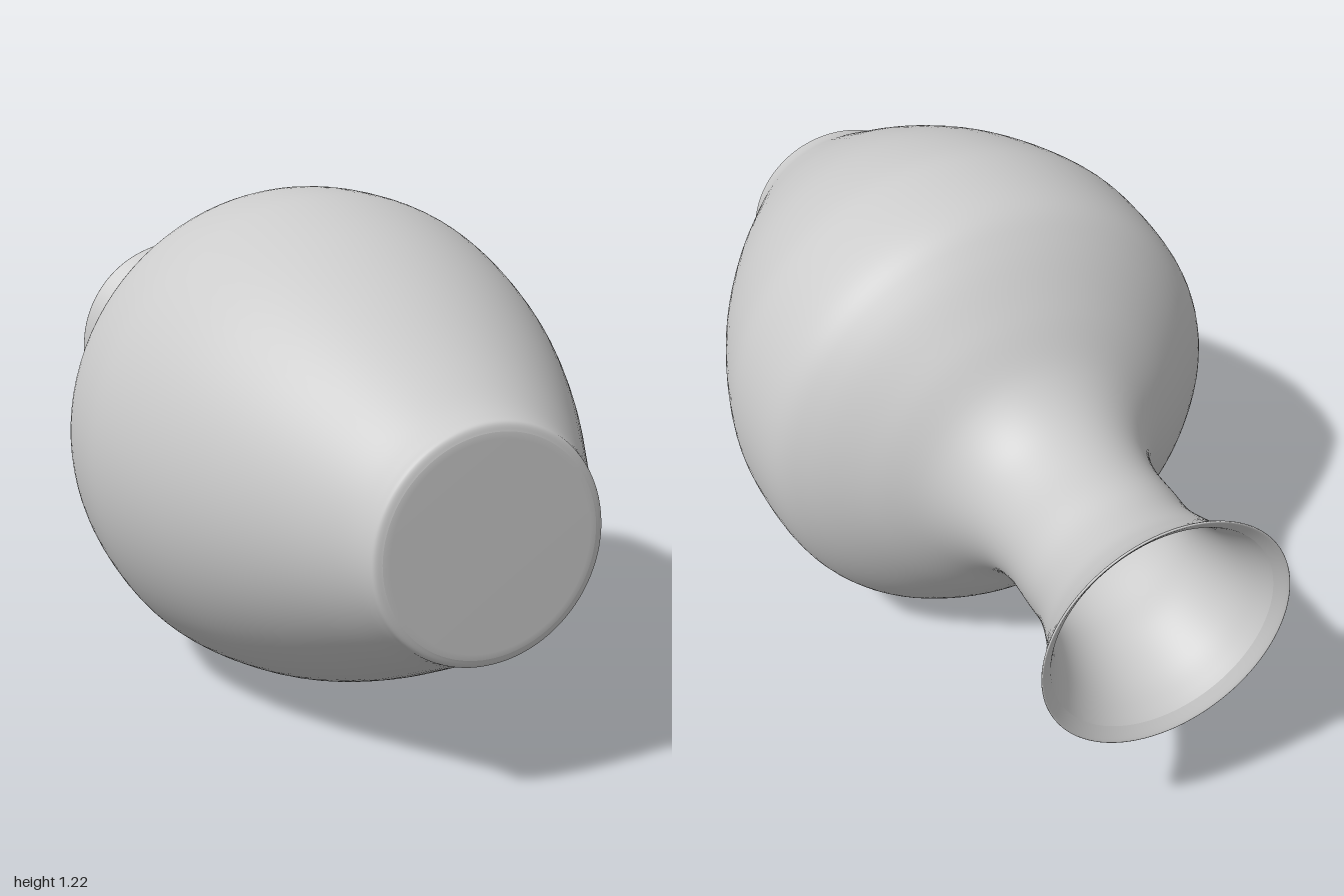
import * as THREE from 'three';

// Profile points as [radius, distance along the axis from the middle], foot to lip
const OUTER = [
  [0.25, -0.993], [0.268, -0.985], [0.276, -0.96], [0.298, -0.905], [0.355, -0.8], [0.46, -0.6],
  [0.545, -0.4], [0.6, -0.2], [0.612, -0.07], [0.594, 0.1], [0.531, 0.2],
  [0.412, 0.31], [0.3, 0.4], [0.237, 0.49], [0.211, 0.59], [0.209, 0.7],
  [0.211, 0.79], [0.24, 0.89], [0.275, 0.955], [0.305, 0.997],
];
const WALL = 0.014;

const spline = (points, n) =>
  new THREE.SplineCurve(points.map(([r, t]) => new THREE.Vector2(r, t))).getPoints(n);

function lathe(name, points, material) {
  const mesh = new THREE.Mesh(new THREE.LatheGeometry(points, 96), material);
  mesh.name = name;
  return mesh;
}

export function createModel() {
  const material = new THREE.MeshStandardMaterial({ color: 0xcccccc, side: THREE.DoubleSide });
  const model = new THREE.Group();
  model.name = 'vase';

  // Body, shoulder, neck and flared mouth as one smooth shell
  const outer = spline(OUTER, 110);
  const body = lathe('body', outer, material);

  // Nearly flat foot closing the body
  const foot = lathe('foot', [
    new THREE.Vector2(0, -0.995), new THREE.Vector2(0.235, -0.995), new THREE.Vector2(0.25, -0.993),
  ], material);

  // Hollow inside: the outer profile pushed inwards, run from lip to floor
  const inner = outer.map((p, i) => {
    const a = outer[Math.max(i - 1, 0)];
    const b = outer[Math.min(i + 1, outer.length - 1)];
    const d = b.clone().sub(a).normalize();
    return new THREE.Vector2(p.x - d.y * WALL, p.y + d.x * WALL);
  }).filter((p) => p.y > -0.96 && p.y < 0.985).reverse();
  const floor = new THREE.Vector2(0, inner[inner.length - 1].y);
  const inside = lathe('inside', [...inner, floor], material);

  // Thin rounded lip joining the outer and inner walls
  const end = outer[outer.length - 1];
  const lip = lathe('lip', spline([[end.x, end.y], [0.304, 1], [0.298, 0.998], [inner[0].x, inner[0].y]], 10), material);

  // Lay the vase on its side, foot to the front and mouth to the back
  const vase = new THREE.Group();
  vase.name = 'vaseOnSide';
  vase.add(body, foot, inside, lip);
  vase.rotation.x = -Math.PI / 2;
  vase.position.y = 0.614;
  model.add(vase);
  return model;
}
